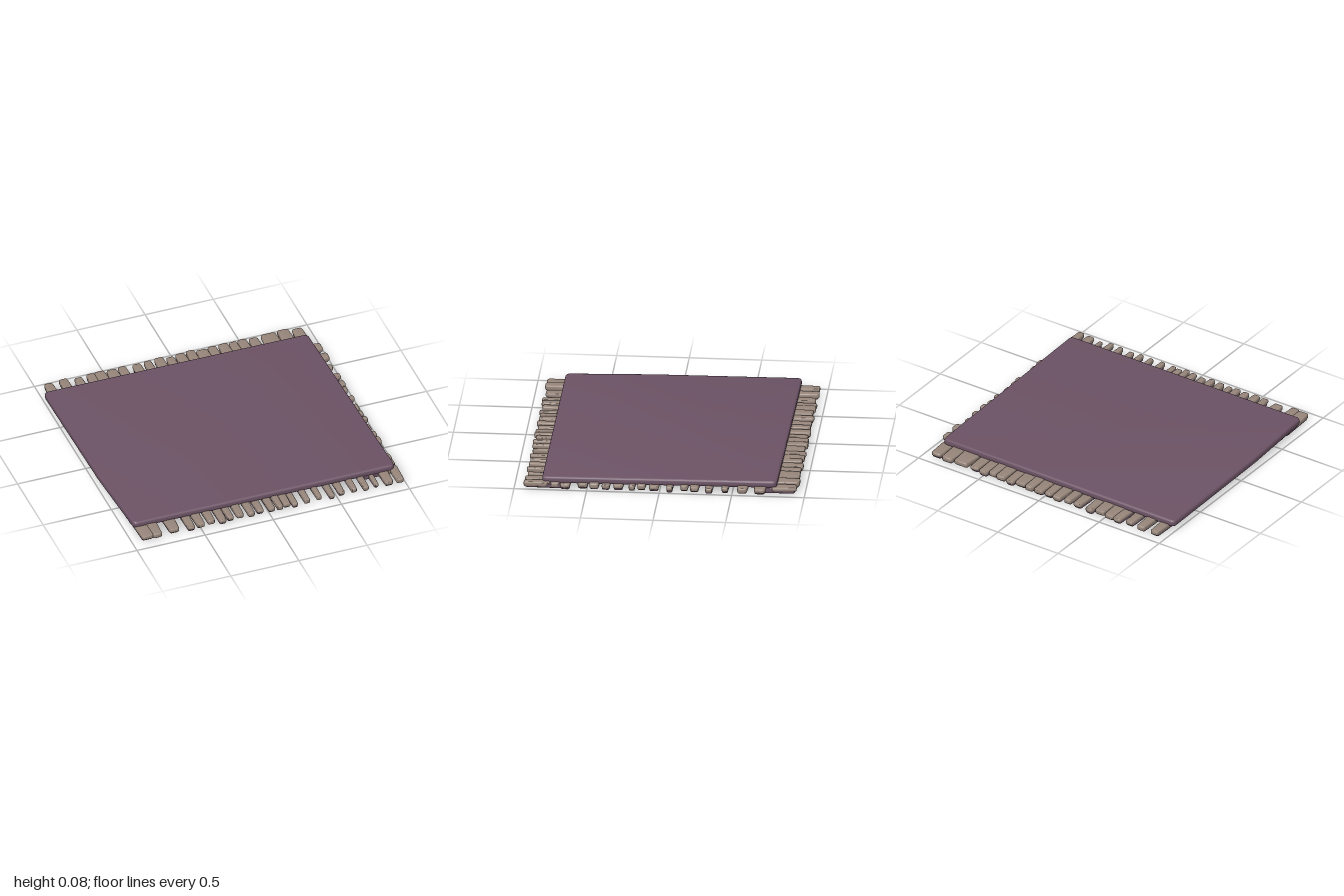
import * as THREE from 'three';
import { mergeGeometries, toCreasedNormals } from 'three/addons/utils/BufferGeometryUtils.js';

const purple = new THREE.MeshStandardMaterial({ color: 0x6b5264 });
purple.name = 'plum cloth';
const tan = new THREE.MeshStandardMaterial({ color: 0x96857a });
tan.name = 'tan fringe';

// Plan outline (x, z) made solid between two heights, with rounded edges
function slab(shape, y0, y1, bevel) {
  const g = new THREE.ExtrudeGeometry(shape, {
    depth: y1 - y0 - 2 * bevel, bevelEnabled: true, bevelThickness: bevel,
    bevelSize: bevel, bevelOffset: -bevel, bevelSegments: 3, curveSegments: 5,
  });
  g.rotateX(Math.PI / 2);
  g.translate(0, y1 - bevel, 0);
  return g;
}

// Polygon with rounded corners
function roundedOutline(points, r) {
  const s = new THREE.Shape();
  const v = points.map((p) => new THREE.Vector2(...p));
  v.forEach((p, i) => {
    const prev = v[(i + v.length - 1) % v.length], next = v[(i + 1) % v.length];
    const a = p.clone().add(prev.clone().sub(p).setLength(r));
    const b = p.clone().add(next.clone().sub(p).setLength(r));
    if (i === 0) s.moveTo(a.x, a.y); else s.lineTo(a.x, a.y);
    s.quadraticCurveTo(p.x, p.y, b.x, b.y);
  });
  s.closePath();
  return s;
}

// One strand running outward along +z from inner to outer
function strand(centre, width, inner, outer, y0, y1, bevel) {
  const w = width / 2, t = w * 0.8;
  return slab(roundedOutline(
    [[centre - w, inner], [centre + w, inner], [centre + t, outer], [centre - t, outer]], Math.min(0.018, t * 0.6)), y0, y1, bevel);
}

function mesh(name, geos, material, turn = 0) {
  const g = toCreasedNormals(mergeGeometries(geos), 0.7);
  const m = new THREE.Mesh(g, material);
  m.name = name;
  m.rotation.y = turn;
  return m;
}

export function createModel() {
  const model = new THREE.Group();
  model.name = 'fringedMat';

  // Cloth top, slightly skewed
  const outline = roundedOutline([[-1, -0.82], [0.93, -0.805], [0.965, 0.81], [-0.95, 0.805], [-0.985, 0.2]], 0.035);
  model.add(mesh('cloth', [slab(outline, 0.042, 0.09, 0.014)], purple));

  // Fringe sides: strands as [centre along the edge, width] in the side's own frame
  const sides = [
    { name: 'front', turn: 0, inner: 0.66, edge: 0.77, tip: 0.93, strands: [
      [-0.89, 0.1], [-0.82, 0.08], [-0.69, 0.085], [-0.57, 0.06], [-0.5, 0.065], [-0.42, 0.06],
      [-0.34, 0.06], [-0.28, 0.05], [-0.21, 0.06], [-0.13, 0.055], [-0.06, 0.055], [0.02, 0.055],
      [0.08, 0.05], [0.135, 0.06], [0.19, 0.045], [0.28, 0.045], [0.37, 0.04], [0.46, 0.045],
      [0.535, 0.05], [0.625, 0.045], [0.71, 0.045], [0.79, 0.035], [0.88, 0.07], [0.96, 0.06]] },
    { name: 'back', turn: Math.PI, inner: 0.68, edge: 0.77, tip: 0.95, strands: [
      [-0.92, 0.075], [-0.81, 0.075], [-0.705, 0.07], [-0.61, 0.075], [-0.545, 0.09], [-0.46, 0.09],
      [-0.38, 0.07], [-0.275, 0.075], [-0.195, 0.065], [-0.11, 0.08], [-0.03, 0.07], [0.045, 0.085],
      [0.12, 0.075], [0.2, 0.1], [0.28, 0.075], [0.36, 0.085], [0.43, 0.07], [0.5, 0.08],
      [0.58, 0.08], [0.69, 0.13], [0.8, 0.1], [0.9, 0.09]].map(([c, w]) => [-c, w]) },
    { name: 'left', turn: Math.PI / 2, inner: 0.73, edge: 0.88, tip: 0.99, strands: [
      [-0.69, 0.09], [-0.57, 0.08], [-0.45, 0.055], [-0.34, 0.06], [-0.24, 0.07], [-0.17, 0.06],
      [-0.07, 0.05], [0.04, 0.08], [0.125, 0.065], [0.19, 0.05], [0.285, 0.08], [0.37, 0.065],
      [0.45, 0.075], [0.53, 0.08], [0.65, 0.08], [0.72, 0.07], [0.78, 0.06]].map(([c, w]) => [-c, w]) },
  ];
  sides.forEach(({ name, turn, inner, edge, tip, strands }) => {
    const upper = [], lower = [];
    strands.forEach(([c, w], i) => {
      const end = tip + 0.01 * Math.sin(i * 2.3);
      const drop = 0.004 * Math.sin(i * 1.7);
      upper.push(strand(c, w, edge, Math.min(end, tip + 0.005), 0.022, 0.054 + drop, 0.009));
      // Underside of each strand, running in beneath the cloth
      lower.push(strand(c, w * 0.95, inner, end - 0.012, 0.012 + drop, 0.046, 0.006));
    });
    model.add(mesh(name + 'Fringe', upper, tan, turn));
    model.add(mesh(name + 'FringeUnderside', lower, purple, turn));
  });

  // Right edge: strands tucked fully beneath the cloth, sloping up to the rim
  const tucked = [];
  for (let i = 0; i < 20; i++) {
    const c = -0.72 + i * 0.076;
    const g = strand(c, 0.055, 0.77, 0.95, 0.012 + 0.004 * Math.sin(i * 1.7), 0.05, 0.006);
    const p = g.attributes.position;
    for (let k = 0; k < p.count; k++) {
      if (p.getY(k) < 0.03) p.setY(k, p.getY(k) + Math.max(0, p.getZ(k) - 0.85) * 0.2);
    }
    tucked.push(g);
  }
  model.add(mesh('tuckedFringe', tucked, purple, -Math.PI / 2));

  return model;
}
